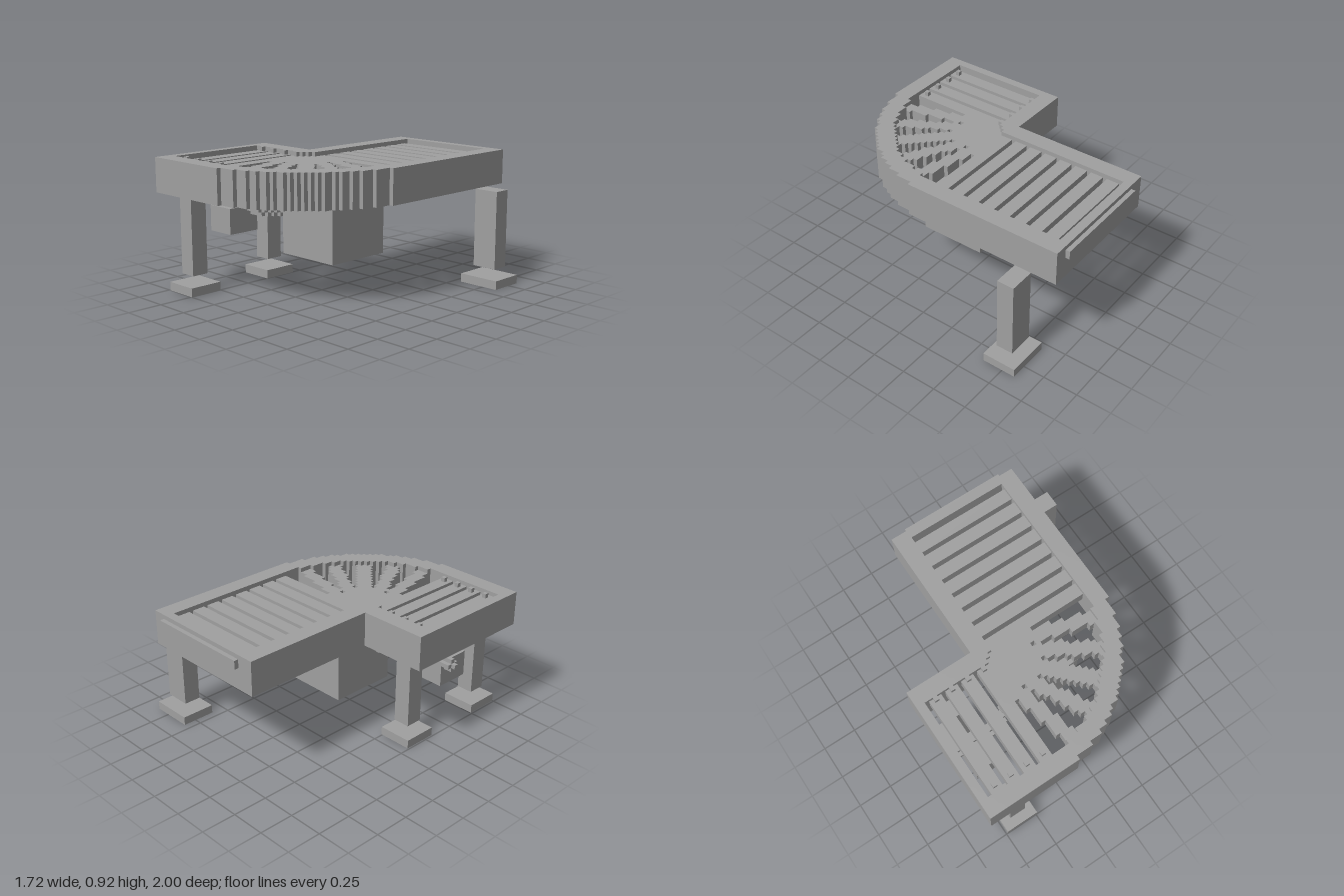
import * as THREE from 'three';
import { mergeGeometries } from 'three/addons/utils/BufferGeometryUtils.js';

// All sizes are in grid cells: 56 wide (x), 30 high (y), 65 deep (z).
const V = 2 / 65, NX = 56, NZ = 65;
const PX = 16, PZ = 33; // pivot cell of the quarter bend

function boxGeo(x0, x1, y0, y1, z0, z1) {
  const g = new THREE.BoxGeometry((x1 - x0) * V, (y1 - y0) * V, (z1 - z0) * V);
  g.translate(((x0 + x1) / 2 - NX / 2) * V, ((y0 + y1) / 2) * V, ((z0 + z1) / 2 - NZ / 2) * V);
  return g;
}

// Stepped prism: extrudes every grid cell that passes the mask, keeping only exposed faces
function prismGeo(mask, y0, y1) {
  const pos = [];
  const quad = (a, b, c, d) => {
    for (const p of [a, b, c, a, c, d]) pos.push((p[0] - NX / 2) * V, p[1] * V, (p[2] - NZ / 2) * V);
  };
  const has = (i, k) => i >= 0 && k >= 0 && i < NX && k < NZ && mask(i, k);
  for (let k = 0; k < NZ; k++) {
    for (let i = 0; i < NX; i++) {
      if (!has(i, k)) continue;
      const x = i + 1, z = k + 1;
      quad([i, y1, k], [i, y1, z], [x, y1, z], [x, y1, k]);
      quad([i, y0, k], [x, y0, k], [x, y0, z], [i, y0, z]);
      if (!has(i + 1, k)) quad([x, y0, z], [x, y0, k], [x, y1, k], [x, y1, z]);
      if (!has(i - 1, k)) quad([i, y0, k], [i, y0, z], [i, y1, z], [i, y1, k]);
      if (!has(i, k + 1)) quad([i, y0, z], [x, y0, z], [x, y1, z], [i, y1, z]);
      if (!has(i, k - 1)) quad([x, y0, k], [i, y0, k], [i, y1, k], [x, y1, k]);
    }
  }
  const g = new THREE.BufferGeometry();
  g.setAttribute('position', new THREE.Float32BufferAttribute(pos, 3));
  g.computeVertexNormals();
  return g;
}

// Side walls of the two straight arms and the bend between them
function frameMask(i, k) {
  if (i < PX) return k >= PZ && (i < 2 || k < 37 || k >= 61);
  if (k < PZ) return k >= 1 && i < 48 && (k < 3 || i < 20 || i >= 44);
  const r = Math.hypot(i - PX, k - PZ);
  return r <= 3.5 || (r >= 27.5 && r <= 31.5);
}

// Rollers fanned around the pivot
function fanMask(i, k) {
  const dx = i - PX, dz = k - PZ, r = Math.hypot(dx, dz);
  if (r <= 3.5 || r >= 27.5) return false;
  for (let n = 0; n <= 6; n++) {
    const a = (n * Math.PI) / 12, c = Math.cos(a), s = Math.sin(a);
    if (dx * c + dz * s > 0 && Math.abs(dz * c - dx * s) <= 1.5) return true;
  }
  return false;
}

export function createModel() {
  const model = new THREE.Group();
  const grey = new THREE.MeshStandardMaterial({ color: 0xa0a0a0 });
  grey.name = 'grey';
  const add = (name, geo) => {
    const mesh = new THREE.Mesh(geo, grey);
    mesh.name = name;
    model.add(mesh);
  };
  const box = (name, ...s) => add(name, boxGeo(...s));

  // Frame and end bar
  add('frame', prismGeo(frameMask, 22, 30));
  box('endBar', 20, 45, 27, 29, 0, 1);

  // Rollers of both arms and the bend
  for (let z = 4; z <= 28; z += 4) box('backArmRoller', 20, 44, 26, 29, z, z + 3);
  for (let x = 3; x <= 11; x += 4) box('sideArmRoller', x, x + 3, 26, 29, 37, 61);
  add('bendRollers', prismGeo(fanMask, 26, 29));
  for (let x = 4; x <= 16; x += 4) {
    for (const z of [37, 59]) box('rollerPin', x, x + 1, 29, 30, z, z + 1);
  }

  // Legs and feet
  for (const z of [35, 57]) {
    box('leg', 6, 10, 4, 22, z + 2, z + 6);
    box('foot', 4, 12, 0, 2, z, z + 8);
  }
  box('sideLeg', 48, 54, 4, 22, 7, 11);
  box('sideFoot', 46, 56, 0, 2, 5, 13);

  // Drive housing and motor
  box('driveHousing', 20, 36, 8, 22, 29, 45);
  box('motor', 4, 11, 12, 18, 45, 53);

  // Cross-section shafts running out of the housing
  box('sideShaftCore', 1, 15, 17, 18, 46, 47);
  add('sideShaft', mergeGeometries([
    boxGeo(2, 15, 16, 19, 46, 47),
    boxGeo(2, 15, 17, 18, 45, 48),
  ]));
  for (let n = 0; n < 5; n++) {
    const x = 15 + n, z = 45 - n;
    add('slantedShaft', mergeGeometries([
      boxGeo(x, x + 1, 16, 19, z, z + 1),
      boxGeo(x, x + 1, 17, 18, z - 1, z + 2),
    ]));
  }
  box('backShaftCore', 24, 25, 17, 18, 23, 29);
  add('backShaft', mergeGeometries([
    boxGeo(24, 25, 16, 19, 24, 29),
    boxGeo(23, 26, 17, 18, 24, 29),
  ]));
  return model;
}
